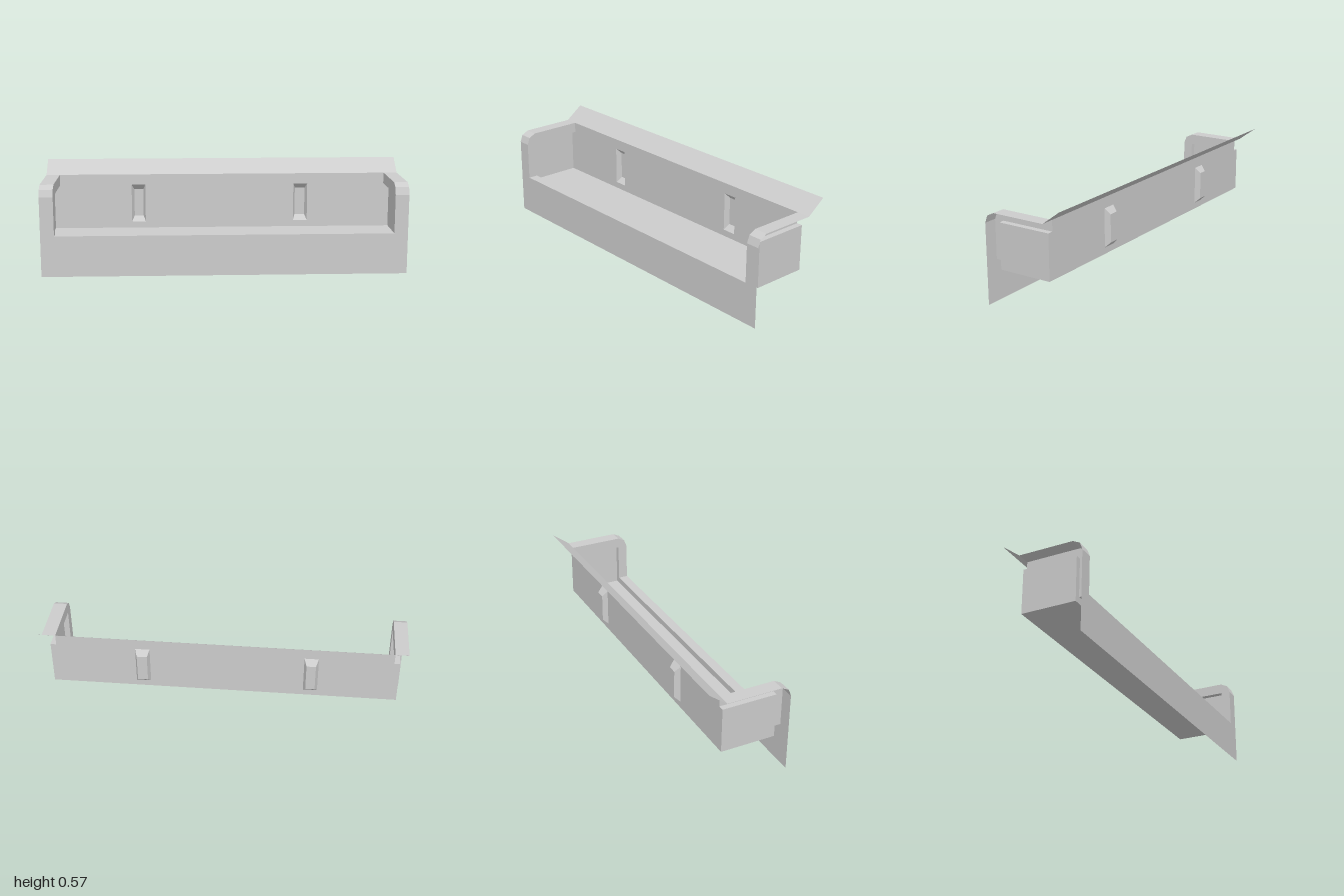
import * as THREE from 'three';

const material = new THREE.MeshStandardMaterial({ color: 0xcccccc, side: THREE.DoubleSide, flatShading: true });

// key planes of the folded sheet
const END = 1, RIM = 0.925, POCKET = 0.957;
const FRONT = 0.23, LIP = 0.175, BACK = -0.13;
const FLOOR = 0.19, LEDGE = 0.226, POCKET_TOP = 0.44, TOP = 0.5;

function add(group, name, geometry) {
  const mesh = new THREE.Mesh(geometry, material);
  mesh.name = name;
  group.add(mesh);
  return mesh;
}

// flat-sided surface joining two equally long rows of [x, y, z] points
function ruled(a, b) {
  const pos = [];
  for (let i = 0; i < a.length - 1; i++) {
    pos.push(...a[i], ...b[i], ...b[i + 1], ...a[i], ...b[i + 1], ...a[i + 1]);
  }
  const g = new THREE.BufferGeometry();
  g.setAttribute('position', new THREE.Float32BufferAttribute(pos, 3));
  g.computeVertexNormals();
  return g;
}

// sheet folded along a [z, y] profile, running from x0 to x1
function folded(profile, x0, x1) {
  return ruled(profile.map(([z, y]) => [x0, y, z]), profile.map(([z, y]) => [x1, y, z]));
}

// flat sheet in the z-y plane at a given x
function sidePlate(profile, x) {
  const shape = new THREE.Shape(profile.map(([z, y]) => new THREE.Vector2(-z, y)));
  return new THREE.ShapeGeometry(shape).rotateY(Math.PI / 2).translate(x, 0, 0);
}

const rect = (x0, x1, y0, y1) => [[x0, y0], [x1, y0], [x1, y1], [x0, y1]];
const vectors = (points) => points.map(([x, y]) => new THREE.Vector2(x, y));

export function createModel() {
  const model = new THREE.Group();
  model.name = 'trough';

  // front apron, ledge, lip and floor
  add(model, 'frontApron', folded([[FRONT, 0], [FRONT, LEDGE]], END, -END));
  add(model, 'frontLedge', folded([[FRONT, LEDGE], [LIP, LEDGE]], RIM, -RIM));
  add(model, 'floor', folded([[LIP, LEDGE], [LIP, FLOOR], [BACK, FLOOR]], POCKET, -POCKET));

  // back wall with two slots
  const wall = new THREE.Shape(vectors([
    [-POCKET, FLOOR], [POCKET, FLOOR], [POCKET, POCKET_TOP], [RIM, POCKET_TOP],
    [RIM, TOP], [-RIM, TOP], [-RIM, POCKET_TOP], [-POCKET, POCKET_TOP],
  ]));
  const slots = [
    { outer: [-0.52, -0.442], inner: [-0.506, -0.455] },
    { outer: [0.406, 0.486], inner: [0.418, 0.474] },
  ];
  for (const { outer, inner } of slots) {
    const mouth = rect(...outer, LEDGE, POCKET_TOP);
    const base = rect(...inner, 0.255, 0.41);
    wall.holes.push(new THREE.Path(vectors(mouth)));

    // tapered pocket pressed out behind the wall
    const slot = new THREE.Group();
    slot.name = 'slotPocket';
    const loop = (points, z) => [...points, points[0]].map(([x, y]) => [x, y, z]);
    add(slot, 'slotSides', ruled(loop(base, -0.16), loop(mouth, BACK)));
    add(slot, 'slotBase', new THREE.ShapeGeometry(new THREE.Shape(vectors(base))).translate(0, 0, -0.16));
    model.add(slot);
  }
  add(model, 'backWall', new THREE.ShapeGeometry(wall).translate(0, 0, BACK));

  // sloping flange along the top of the back
  add(model, 'backFlange', folded([[BACK, TOP], [-0.23, 0.575]], END, -END));

  // ends: outer rim, inner frame and recessed pocket
  const rim = [[FRONT, LEDGE], [FRONT, POCKET_TOP], [0.215, 0.48], [LIP, TOP], [BACK, TOP]];
  const opening = [[BACK, POCKET_TOP], [LIP, POCKET_TOP], [LIP, LEDGE]];
  for (const side of [-1, 1]) {
    const end = new THREE.Group();
    end.name = side > 0 ? 'leftEnd' : 'rightEnd';
    add(end, 'rim', folded(rim, side * END, side * RIM));
    add(end, 'innerFrame', sidePlate([...rim, ...opening], side * RIM));
    add(end, 'pocketStep', folded(opening, side * RIM, side * POCKET));
    add(end, 'pocketEnd', sidePlate(
      [[LIP, FLOOR], [BACK, FLOOR], [BACK, POCKET_TOP], [LIP, POCKET_TOP]], side * POCKET));
    model.add(end);
  }

  return model;
}
